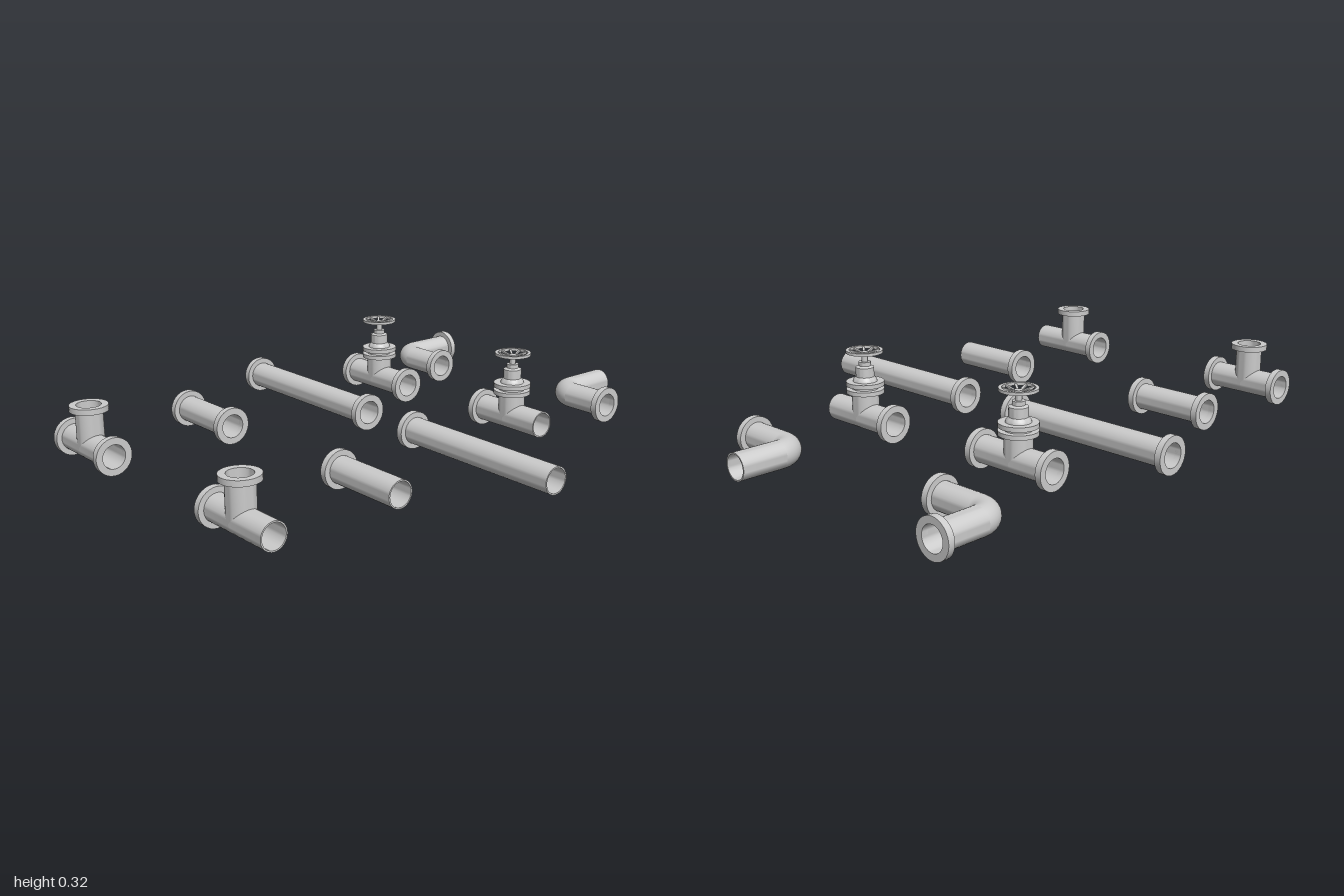
import * as THREE from 'three';
import { toCreasedNormals } from 'three/addons/utils/BufferGeometryUtils.js';

const RO = 0.047, RI = 0.042, RF = 0.066, TF = 0.023, BEND = 0.065;
const grey = new THREE.MeshStandardMaterial({ color: 0xcccccc });
const greyDouble = new THREE.MeshStandardMaterial({ color: 0xcccccc, side: THREE.DoubleSide });

function add(parent, name, geometry, material = grey) {
  const mesh = new THREE.Mesh(geometry, material);
  mesh.name = name;
  parent.add(mesh);
  return mesh;
}

function lathe(points, segments = 32) {
  return new THREE.LatheGeometry(points.map(([x, y]) => new THREE.Vector2(x, y)), segments);
}

// Hollow ring around y from height y0 to y1
function ring(ri, ro, y0, y1) {
  return lathe([[ri, y0], [ro, y0], [ro, y1], [ri, y1], [ri, y0]]);
}

const crease = (g) => toCreasedNormals(g, 0.6);
const alongX = (g) => g.rotateZ(-Math.PI / 2);

function pipe(parent, x0, x1) {
  add(parent, 'pipe', crease(alongX(ring(RI, RO, x0, x1))));
}

// Flange disc whose centre is at x
function flange(parent, x) {
  add(parent, 'flange', crease(alongX(ring(RI, RF, x - TF / 2, x + TF / 2))));
}

// End flanges: always on the -x end, on the +x end when asked
function endFlanges(parent, x0, x1, both) {
  flange(parent, x0 + TF / 2);
  if (both) flange(parent, x1 - TF / 2);
}

// Run and branch cut on the same 45 degree planes, so the bores meet openly
function teeBody(parent, x0, x1, top) {
  for (const [end, side] of [[x0, -1], [x1, 1]]) {
    const g = alongX(ring(RI, RO, Math.min(0, end), Math.max(0, end)));
    const p = g.attributes.position;
    for (let i = 0; i < p.count; i++) {
      if (Math.abs(p.getX(i)) < 1e-4) p.setX(i, side * Math.max(0, p.getY(i)));
    }
    add(parent, 'runPipe', crease(g));
  }
  const b = ring(RI, RO, 0, top), q = b.attributes.position;
  for (let i = 0; i < q.count; i++) {
    if (Math.abs(q.getY(i)) < 1e-4) q.setY(i, Math.abs(q.getX(i)));
  }
  add(parent, 'branchPipe', crease(b));
}

function straight(x0, x1, y, z, both) {
  const g = new THREE.Group();
  g.name = 'straightPipe';
  pipe(g, x0, x1);
  endFlanges(g, x0, x1, both);
  g.position.set(0, y, z);
  return g;
}

function tee(cx, x0, x1, y, z, both) {
  const g = new THREE.Group();
  g.name = 'teePipe';
  teeBody(g, x0 - cx, x1 - cx, 0.145);
  endFlanges(g, x0 - cx, x1 - cx, both);
  add(g, 'branchFlange', crease(ring(RI, RF, 0.145 - TF + 0.003, 0.145)));
  g.position.set(cx, y, z);
  return g;
}

function handWheel() {
  const g = new THREE.Group();
  g.name = 'handWheel';
  add(g, 'rim', crease(ring(0.053, 0.064, -0.005, 0.005)));
  add(g, 'hub', crease(new THREE.CylinderGeometry(0.014, 0.014, 0.014, 20))).position.y = -0.01;
  // Spokes drop from the rim to the hub
  const count = 10;
  for (let i = 0; i < count; i++) {
    const spoke = new THREE.BoxGeometry(0.048, 0.006, 0.008);
    spoke.rotateZ(0.22).translate(0.033, -0.006, 0).rotateY((i / count) * Math.PI * 2);
    add(g, 'spoke', spoke);
  }
  return g;
}

function valve(cx, x0, x1, y, z, both) {
  const g = new THREE.Group();
  g.name = 'valve';
  teeBody(g, x0 - cx, x1 - cx, 0.09);
  endFlanges(g, x0 - cx, x1 - cx, both);
  // Bolted flange pair, bonnet and stem in one turned profile
  add(g, 'bonnet', crease(lathe([
    [0, 0.084], [0.066, 0.084], [0.066, 0.099], [0.046, 0.099], [0.046, 0.11],
    [0.066, 0.11], [0.066, 0.125], [0.042, 0.125], [0.04, 0.133], [0.032, 0.142],
    [0.032, 0.175], [0.021, 0.18], [0.021, 0.194], [0.011, 0.194], [0.011, 0.225], [0, 0.225],
  ])));
  const wheel = handWheel();
  wheel.position.y = 0.231;
  g.add(wheel);
  g.position.set(cx, y, z);
  return g;
}

// Quarter bend with one arm towards +x and one towards -z
function elbow(cx, cz, y, xEnd, zEnd, both) {
  const g = new THREE.Group();
  g.name = 'elbowPipe';
  for (const [r, name] of [[RO, 'bendOuter'], [RI, 'bendInner']]) {
    const bend = new THREE.TorusGeometry(BEND, r, 32, 16, Math.PI / 2);
    bend.rotateZ(Math.PI / 2).rotateX(Math.PI / 2).translate(BEND, 0, -BEND);
    add(g, name, bend, greyDouble);
  }
  const lx = xEnd - cx, lz = cz - zEnd;
  pipe(g, BEND, lx);
  flange(g, lx - TF / 2);
  const backArm = new THREE.Group();
  backArm.name = 'backArm';
  pipe(backArm, BEND, lz);
  if (both) flange(backArm, lz - TF / 2);
  backArm.rotation.y = Math.PI / 2;
  g.add(backArm);
  g.position.set(cx, y, cz);
  return g;
}

export function createModel() {
  const model = new THREE.Group();
  model.name = 'pipeSet';
  model.add(
    // Pieces flanged at every end
    straight(-0.805, -0.112, 0.094, 0, true),
    straight(-0.605, -0.305, 0.093, 0.463, true),
    tee(-0.46, -0.605, -0.305, 0.087, 0.929, true),
    valve(-0.473, -0.627, -0.299, 0.087, -0.354, true),
    elbow(-0.712, -0.7, 0.067, -0.476, -0.94, true),
    // Pieces with one plain end
    straight(0.127, 0.803, 0.094, 0.01, false),
    straight(0.265, 0.574, 0.093, 0.45, false),
    tee(0.415, 0.265, 0.574, 0.087, 0.918, false),
    valve(0.228, 0.072, 0.378, 0.086, -0.386, false),
    elbow(0.122, -0.77, 0.076, 0.355, -1, false),
  );
  return model;
}
